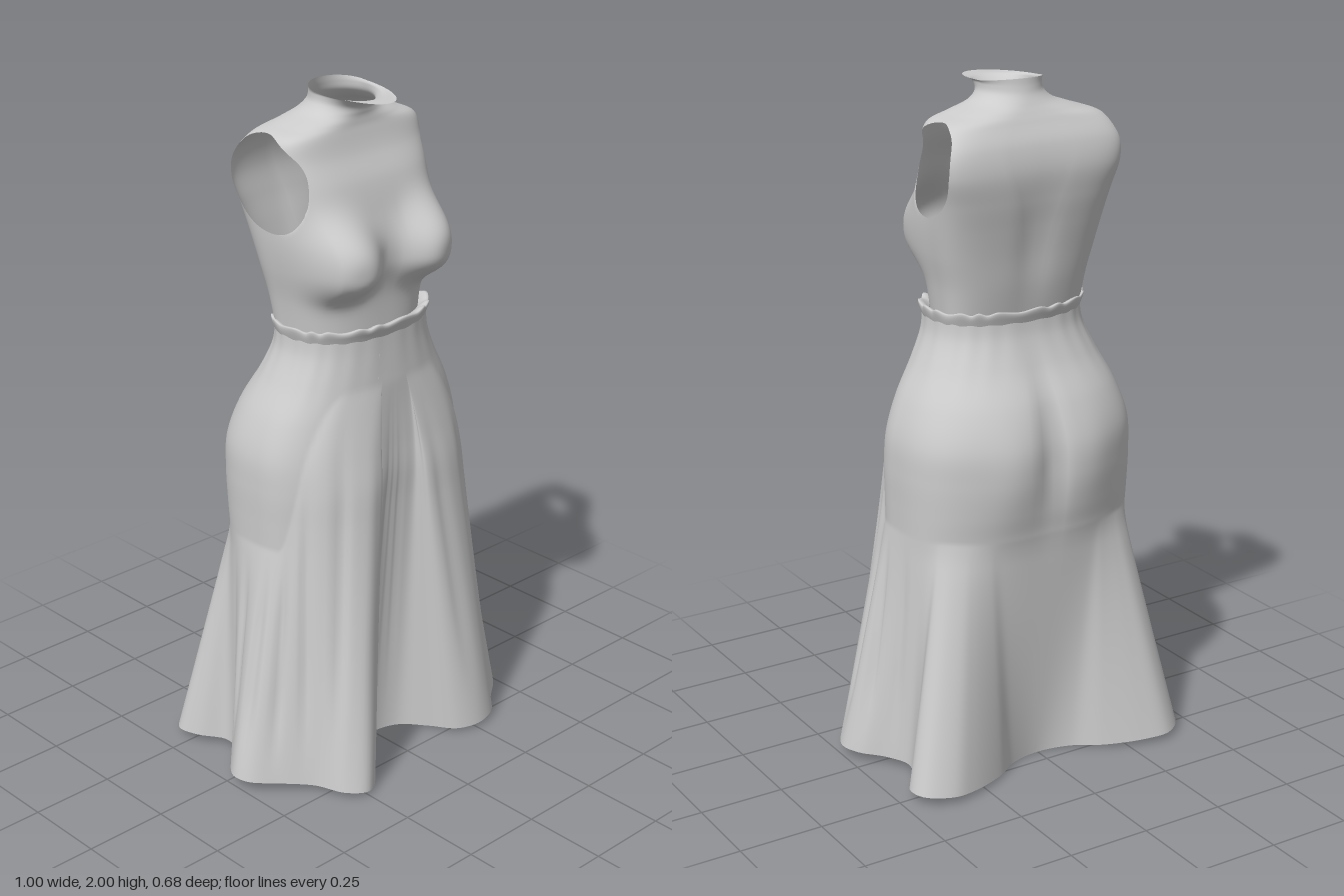
import * as THREE from 'three';

const cloth = new THREE.MeshStandardMaterial({ color: 0xcccccc, side: THREE.DoubleSide });
cloth.name = 'greyCloth';

const gauss = (d, r) => Math.exp(-(d * d) / (r * r));
const spow = (v, p) => Math.sign(v) * Math.pow(Math.abs(v), p);
const { smoothstep, lerp } = THREE.MathUtils;

// Smooth interpolation through rows of section values, t from 0 to 1
function section(rows, t) {
  const f = Math.min(t, 0.99999) * (rows.length - 1), i = Math.floor(f), u = f - i;
  const row = k => rows[Math.max(0, Math.min(rows.length - 1, k))];
  return rows[0].map((_, c) => {
    const [a, b, d, e] = [row(i - 1)[c], row(i)[c], row(i + 1)[c], row(i + 2)[c]];
    return b + 0.5 * u * (d - a + u * (2 * a - 5 * b + 4 * d - e + u * (3 * (b - d) + e - a)));
  });
}

// Closed rings stacked upwards; point(u, v) returns [x, y, z, cut]
function loft(name, n, m, point) {
  const pos = [], cut = [], index = [];
  for (let j = 0; j <= m; j++) {
    for (let i = 0; i < n; i++) {
      const [x, y, z, c] = point(i / n, j / m);
      pos.push(x, y, z);
      cut.push(!!c);
    }
  }
  const face = (a, b, c) => { if (!(cut[a] && cut[b] && cut[c])) index.push(a, b, c); };
  for (let j = 0; j < m; j++) {
    for (let i = 0; i < n; i++) {
      const a = j * n + i, b = j * n + (i + 1) % n;
      face(a, a + n, b);
      face(b, a + n, b + n);
    }
  }
  const g = new THREE.BufferGeometry();
  g.setAttribute('position', new THREE.Float32BufferAttribute(pos, 3));
  g.setIndex(index);
  g.computeVertexNormals();
  const mesh = new THREE.Mesh(g, cloth);
  mesh.name = name;
  return mesh;
}

// Bodice sections: y, half width, front z, back z, front and back squareness, back widening
const BODICE = [
  [1.34, 0.22, 0.14, -0.14, 0.75, 0.75, 0],
  [1.43, 0.232, 0.14, -0.16, 0.7, 0.72, 0],
  [1.52, 0.25, 0.148, -0.175, 0.62, 0.65, 0.05],
  [1.6, 0.26, 0.148, -0.19, 0.6, 0.58, 0.2],
  [1.68, 0.262, 0.13, -0.205, 0.55, 0.5, 0.5],
  [1.76, 0.263, 0.105, -0.213, 0.5, 0.4, 0.8],
  [1.83, 0.26, 0.07, -0.2, 0.5, 0.36, 0.8],
  [1.885, 0.245, 0.052, -0.172, 0.55, 0.45, 0.4],
  [1.91, 0.185, 0.047, -0.158, 0.7, 0.65, 0.1],
  [1.932, 0.125, 0.047, -0.145, 0.9, 0.85, 0],
  [1.957, 0.096, 0.056, -0.132, 1, 1, 0],
  [1.98, 0.09, 0.1, -0.125, 1, 1, 0],
  [1.99, 0.094, 0.157, -0.122, 1, 1, 0],
];

// Height to section parameter, used to slide armhole rim points along the bodice
function bodiceParameter(y) {
  let lo = 0, hi = 1;
  for (let i = 0; i < 24; i++) {
    const mid = (lo + hi) / 2;
    if (section(BODICE, mid)[0] < y) lo = mid; else hi = mid;
  }
  return lo;
}

function bodicePoint(u, v) {
  const th = u * Math.PI * 2, a = th - 0.42 * Math.sin(2 * th);
  let [y, w, zf, zb, pf, pb, k] = section(BODICE, v);
  const s = Math.sin(a), zm = -0.04, p = s > 0 ? pf : pb;
  let z = zm + (s > 0 ? zf - zm : zm - zb) * spow(s, p);
  const x = w * spow(Math.cos(a), p) * (1 - k * z);
  // Bust and spine
  if (s > 0) {
    const r = Math.hypot((Math.abs(x) - 0.165) / 0.115, (y - 1.535) / (y < 1.535 ? 0.08 : 0.13));
    z += 0.088 * Math.exp(-(r ** 3)) * Math.min(1, s * 1.5);
  } else z += 0.014 * gauss(x, 0.05) * gauss(y - 1.6, 0.2);
  y -= 0.01 * s * smoothstep(v, 0.9, 1);
  // Armholes: inner points slide out to the rim, faces inside are dropped
  const dy = y - 1.762, dz = z + 0.053 + 0.2 * dy;
  const r = Math.pow(Math.abs(dz / 0.125) ** 2.1 + Math.abs(dy / 0.133) ** 2.1, 1 / 2.1);
  if (Math.abs(x) > 0.15 && r < 1) {
    const f = 1 / Math.max(r, 0.01);
    const ry = 1.762 + dy * f, rz = -0.053 - 0.2 * dy * f + dz * f;
    [, w, zf, zb, pf, pb, k] = section(BODICE, bodiceParameter(ry));
    const front = rz > zm, e = front ? pf : pb;
    const q = Math.min(0.95, (rz - zm) / ((front ? zf : zb) - zm));
    const rx = w * Math.pow(1 - Math.pow(q, 2 / e), e / 2) * (1 - k * rz);
    return [Math.sign(x) * rx, ry, rz, true];
  }
  return [x, y, z];
}

// Skirt sections: y, half width, front z, back z, back squareness
const SKIRT = [
  ...[0, 0.12, 0.24, 0.36, 0.48, 0.6, 0.67].map(y => [y, 0.365, 0.2, -0.255, 0.72]),
  [0.73, 0.365, 0.2, -0.258, 0.7], [0.8, 0.366, 0.2, -0.266, 0.7], [0.9, 0.367, 0.2, -0.272, 0.7],
  [1.0, 0.36, 0.19, -0.27, 0.7], [1.1, 0.328, 0.18, -0.245, 0.75], [1.2, 0.277, 0.172, -0.195, 0.8],
  [1.28, 0.243, 0.167, -0.165, 0.85], [1.34, 0.235, 0.165, -0.157, 0.85],
];

// Wavy hem outline seen from above
const HEM = new THREE.CatmullRomCurve3([
  [0.5, 0.09], [0.46, 0.17], [0.38, 0.235], [0.33, 0.285], [0.26, 0.302], [0.19, 0.275], [0.14, 0.2],
  [0.08, 0.125], [0, 0.1], [-0.08, 0.13], [-0.14, 0.21], [-0.18, 0.295], [-0.25, 0.342], [-0.31, 0.305],
  [-0.35, 0.22], [-0.42, 0.15], [-0.49, 0.085], [-0.5, 0.03], [-0.45, -0.04], [-0.385, -0.1],
  [-0.375, -0.15], [-0.425, -0.225], [-0.44, -0.29], [-0.38, -0.34], [-0.3, -0.33], [-0.18, -0.28],
  [-0.1, -0.225], [0, -0.2], [0.1, -0.225], [0.18, -0.28], [0.3, -0.33], [0.37, -0.34],
  [0.45, -0.305], [0.465, -0.25], [0.41, -0.17], [0.385, -0.1], [0.42, -0.03], [0.48, 0.03],
].map(([x, z]) => new THREE.Vector3(x, 0, z)), true);

function skirtPoint(u, v) {
  const h = HEM.getPointAt(u);
  const hemAngle = Math.atan2(h.z / 0.35, h.x / 0.5);
  // The front valley narrows to a point as it rises
  const d = hemAngle - Math.PI / 2;
  const a = h.z > 0 ? Math.PI / 2 + d * lerp(0.1, 1, smoothstep(Math.abs(d), 0.2, 0.95)) : hemAngle;
  const s = Math.sin(a), c = Math.cos(a);
  const [y, w, zf, zb, pb] = section(SKIRT, v);
  const p = s > 0 ? 0.85 : pb;
  let x = w * spow(c, p), z = (s > 0 ? zf : -zb) * spow(s, p);
  // Seat with a centre groove
  if (s < 0) {
    z -= 0.022 * gauss(Math.abs(x) - 0.12, 0.1) * gauss(y - 0.92, 0.16);
    z += 0.026 * gauss(x, 0.032) * gauss(y - 0.98, 0.18);
  }
  // Drape from the hips out to the hem, starting higher at the front
  const start = lerp(0.72, 1.18, smoothstep(s, 0.3, 0.85));
  const t = Math.max(0, (start - y) / start);
  x = lerp(x, h.x, t);
  z = lerp(z, h.z, t);
  // Narrow pleats on the front and sides
  const env = smoothstep(t, 0, 0.35) * (1 - smoothstep(t, 0.6, 1)) * smoothstep(s, -0.45, 0);
  const pleat = 1 - 0.03 * env * Math.pow(Math.abs(Math.sin(13 * hemAngle + 0.6)), 6);
  // Soft gathers at the top
  const gather = 1 + 0.004 * Math.sin(22 * a) * smoothstep(y, 1.1, 1.3);
  const lift = 0.032 * Math.pow(Math.abs(h.x) / 0.5, 1.3) * Math.max(0, 1 - y);
  return [x * pleat * gather, y + lift, z * pleat * gather];
}

// Gathered waistband: y, half width, front z, back z
const RUFFLE = [
  [1.322, 0.234, 0.165, -0.157], [1.336, 0.239, 0.17, -0.162], [1.35, 0.243, 0.176, -0.167],
  [1.361, 0.243, 0.175, -0.167], [1.357, 0.23, 0.16, -0.155], [1.345, 0.218, 0.142, -0.14],
];

function rufflePoint(u, v) {
  const a = u * Math.PI * 2, s = Math.sin(a);
  const [y, w, zf, zb] = section(RUFFLE, v);
  const wave = Math.sin(19 * a + 1.2 * Math.sin(7 * a)) * smoothstep(v, 0.1, 0.6) * (1 - smoothstep(v, 0.7, 1));
  const k = 1 + 0.01 * wave;
  return [w * spow(Math.cos(a), 0.85) * k, y + 0.004 * wave, (s > 0 ? zf : -zb) * spow(s, 0.85) * k];
}

export function createModel() {
  const dress = new THREE.Group();
  dress.name = 'dress';
  dress.add(
    loft('bodice', 240, 96, bodicePoint),
    loft('skirt', 260, 110, skirtPoint),
    loft('waistRuffle', 224, 10, rufflePoint),
  );
  return dress;
}
